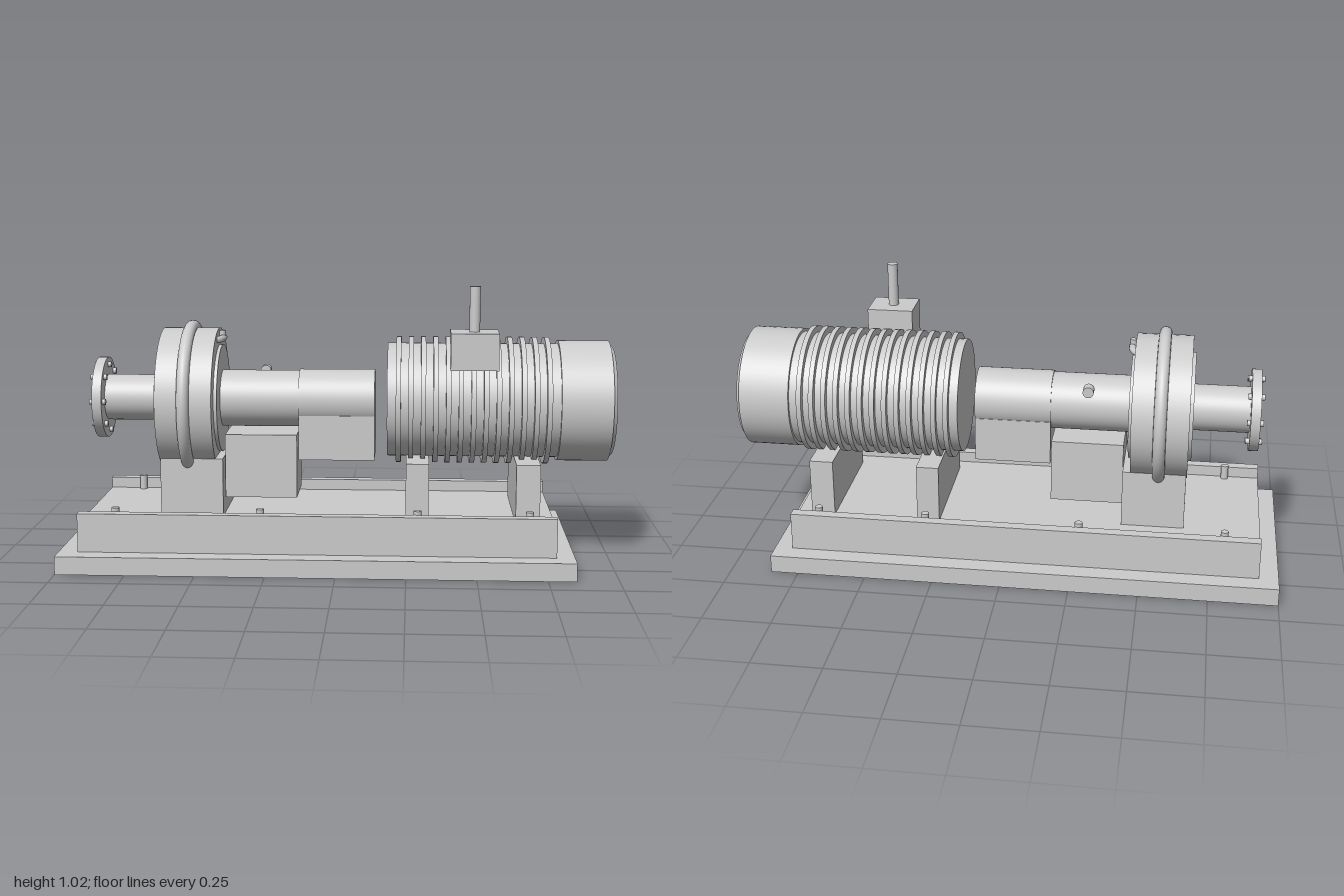
import * as THREE from 'three';

const material = new THREE.MeshStandardMaterial({ color: 0xcccccc });
const AXIS_Y = 0.58; // height of the common shaft line

export function createModel() {
  const model = new THREE.Group();

  const add = (name, geometry) => {
    const mesh = new THREE.Mesh(geometry, material);
    mesh.name = name;
    model.add(mesh);
    return mesh;
  };
  // Box given by its extents
  const box = (name, x0, x1, y0, y1, z0, z1) =>
    add(name, new THREE.BoxGeometry(x1 - x0, y1 - y0, z1 - z0))
      .position.set((x0 + x1) / 2, (y0 + y1) / 2, (z0 + z1) / 2);
  // Cylinder or cone along x, r0 at x0 and r1 at x1
  const drum = (name, x0, x1, r0, r1 = r0, y = AXIS_Y, z = 0, sides = 64) => {
    const g = new THREE.CylinderGeometry(r1, r0, x1 - x0, sides).rotateZ(-Math.PI / 2);
    add(name, g).position.set((x0 + x1) / 2, y, z);
  };
  const post = (name, x, y0, y1, z, r) =>
    add(name, new THREE.CylinderGeometry(r, r, y1 - y0, 24)).position.set(x, (y0 + y1) / 2, z);

  // Base plate, bed and side rails with anchor bolts
  box('basePlate', -1, 0.85, 0, 0.066, -0.4, 0.4);
  box('bed', -0.93, 0.785, 0.066, 0.166, -0.33, 0.33);
  for (const s of [-1, 1]) {
    box('sideRail', -0.93, 0.785, 0.166, 0.207, s * 0.31 - 0.02, s * 0.31 + 0.02);
    for (const x of [-0.8, -0.275, 0.29, 0.69]) post('anchorBolt', x, 0.166, 0.22, s * 0.278, 0.014);
  }

  // Pedestals
  box('pumpPedestal', -0.652, -0.422, 0.166, 0.38, -0.17, 0.17);
  box('motorFoot', 0.247, 0.33, 0.166, 0.38, -0.23, 0.23);
  box('motorFoot', 0.643, 0.73, 0.166, 0.38, -0.23, 0.23);

  // Inlet flange, its bolts and pipe
  drum('inletFlange', -0.905, -0.87, 0.15);
  for (let i = 0; i < 8; i++) {
    const a = (i * Math.PI) / 4;
    drum('flangeBolt', -0.917, -0.858, 0.011, 0.011, AXIS_Y + 0.123 * Math.cos(a), 0.123 * Math.sin(a), 16);
  }
  drum('inletPipe', -0.87, -0.66, 0.085);

  // Pump casing with end covers and a rounded rim
  drum('pumpCasing', -0.655, -0.45, 0.262);
  drum('casingCover', -0.667, -0.438, 0.2);
  const rim = add('casingRim', new THREE.TorusGeometry(0.267, 0.023, 16, 80).rotateY(Math.PI / 2));
  rim.position.set(-0.552, AXIS_Y, 0);

  // Bowed handle on the casing face
  const bow = new THREE.CatmullRomCurve3([
    new THREE.Vector3(-0.465, 0.803, -0.07),
    new THREE.Vector3(-0.442, 0.805, -0.045),
    new THREE.Vector3(-0.436, 0.805, 0),
    new THREE.Vector3(-0.442, 0.805, 0.045),
    new THREE.Vector3(-0.465, 0.803, 0.07),
  ]);
  add('casingHandle', new THREE.TubeGeometry(bow, 24, 0.013, 12));
  post('handleStud', -0.438, 0.805, 0.834, 0, 0.012);

  // Bearing housing, coupling guard and their lower boxes
  drum('bearingHousing', -0.45, -0.15, 0.105);
  box('bearingBox', -0.42, -0.155, 0.225, 0.46, -0.113, 0.113);
  drum('couplingGuard', -0.15, 0.13, 0.11);
  box('guardBox', -0.15, 0.13, 0.365, 0.53, -0.1, 0.1);
  const knob = add('oilKnob', new THREE.CylinderGeometry(0.02, 0.02, 0.04, 24).rotateX(Math.PI / 2));
  knob.position.set(-0.288, 0.67, -0.117);

  // Motor body, cooling fins and end cowl
  drum('motorBody', 0.177, 0.8, 0.21);
  for (let i = 0; i < 13; i++) {
    const x = 0.218 + i * 0.045;
    drum('coolingFin', x - 0.009, x + 0.009, 0.234);
  }
  drum('motorCowl', 0.8, 0.985, 0.222);
  drum('cowlChamfer', 0.985, 1, 0.213, 0.2);

  // Terminal box with cable stub
  box('terminalBox', 0.402, 0.572, 0.725, 0.856, 0.125, 0.272);
  post('cableStub', 0.487, 0.856, 1.017, 0.2, 0.019);

  return model;
}
